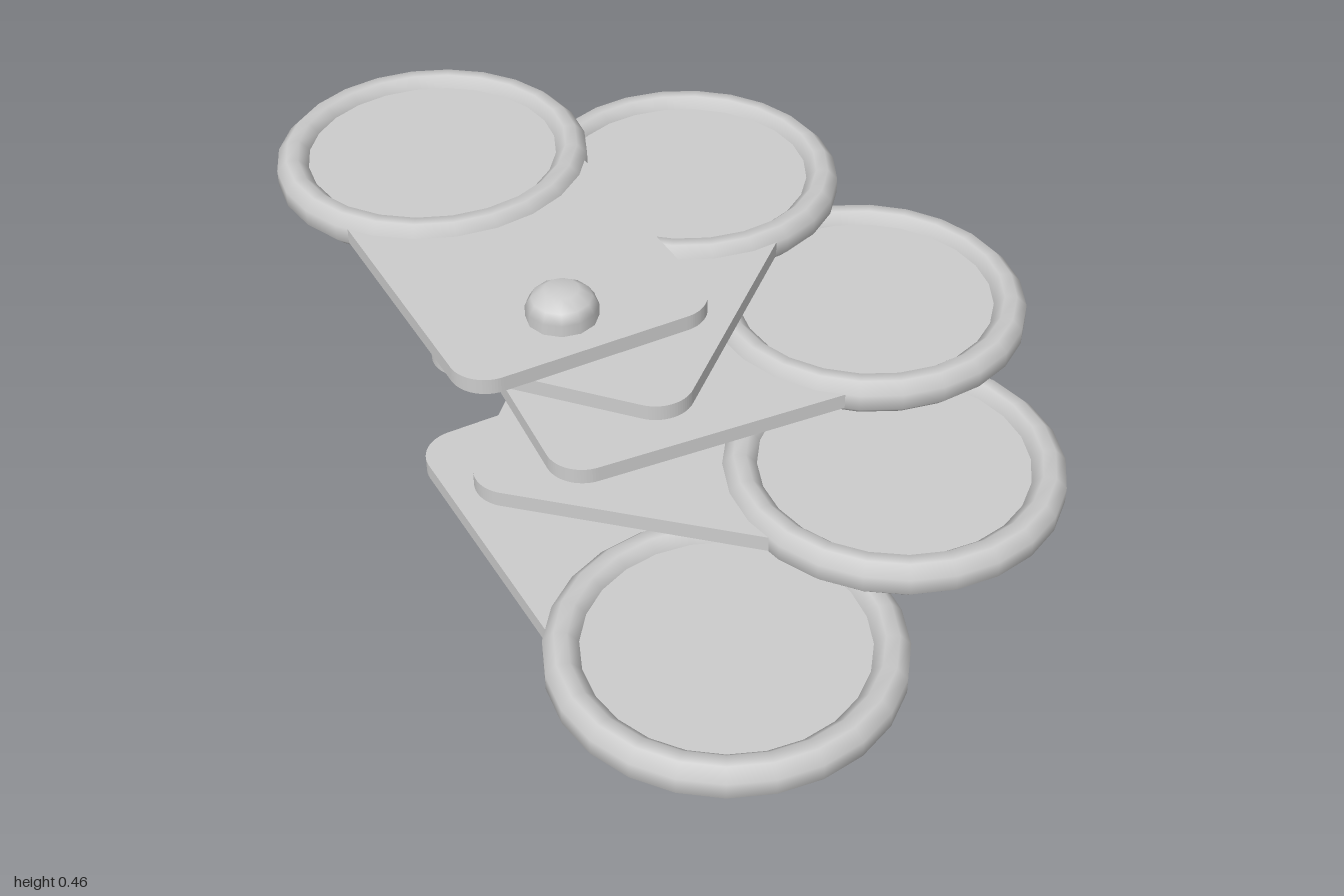
import * as THREE from 'three';

const PIVOT = new THREE.Vector3(-0.302, 0, -0.003);
const ARM = 0.663;      // pivot to lens centre
const OFFSET = 0.014;   // sideways shift of the arm against the pivot
const HALF = 0.27;      // half width of the plate
const THICK = 0.033;

// Plate with two rounded rear corners and a round end that fills the lens ring
function plateGeometry() {
  const s = new THREE.Shape();
  const back = -0.122, r = 0.075;
  const l = OFFSET - HALF, rt = OFFSET + HALF;
  s.moveTo(l + r, back);
  s.lineTo(rt - r, back);
  s.absarc(rt - r, back + r, r, -Math.PI / 2, 0, false);
  s.lineTo(rt, ARM);
  s.absarc(OFFSET, ARM, HALF, 0, Math.PI, false);
  s.lineTo(l, back + r);
  s.absarc(l + r, back + r, r, Math.PI, Math.PI * 1.5, false);
  const g = new THREE.ExtrudeGeometry(s, { depth: THICK, bevelEnabled: false, curveSegments: 10 });
  g.translate(0, 0, -THICK / 2);
  g.rotateX(-Math.PI / 2);
  return g;
}

// Lens rim: chamfered closed section turned about the lens axis
function rimGeometry() {
  const o = 0.332, i = 0.265, h = 0.038, c = 0.021;
  const pts = [
    [i + c, -h], [o - c, -h], [o, -h + c], [o, h - c],
    [o - c, h], [i + c, h], [i, h - c], [i, -h + c], [i + c, -h],
  ].map(([x, y]) => new THREE.Vector2(x, y));
  return new THREE.LatheGeometry(pts, 24);
}

export function createModel() {
  const model = new THREE.Group();
  model.name = 'foldingMagnifierSet';
  const mat = new THREE.MeshStandardMaterial({ color: 0xcccccc });
  const plateGeo = plateGeometry();
  const rimGeo = rimGeometry();

  // Fanned leaves, lowest first
  [176.9, -136.3, -97.8, -51.9, -3.6].forEach((deg, k) => {
    const leaf = new THREE.Group();
    leaf.name = `lensLeaf${k + 1}`;
    const plate = new THREE.Mesh(plateGeo, mat);
    plate.name = 'plateAndLens';
    const rim = new THREE.Mesh(rimGeo, mat);
    rim.name = 'lensRim';
    rim.position.set(OFFSET, 0, -ARM);
    leaf.add(plate, rim);
    leaf.position.set(PIVOT.x, 0.083 + k * 0.0748, PIVOT.z);
    leaf.rotation.y = THREE.MathUtils.degToRad(deg);
    model.add(leaf);
  });

  // Pivot pin with domed ends
  const pinProfile = [
    [0, 0], [0.035, 0], [0.06, 0.018], [0.072, 0.038],
    [0.072, 0.423], [0.06, 0.443], [0.035, 0.461], [0, 0.461],
  ].map(([x, y]) => new THREE.Vector2(x, y));
  const pin = new THREE.Mesh(new THREE.LatheGeometry(pinProfile, 12), mat);
  pin.name = 'pivotPin';
  pin.position.copy(PIVOT);
  model.add(pin);

  return model;
}
